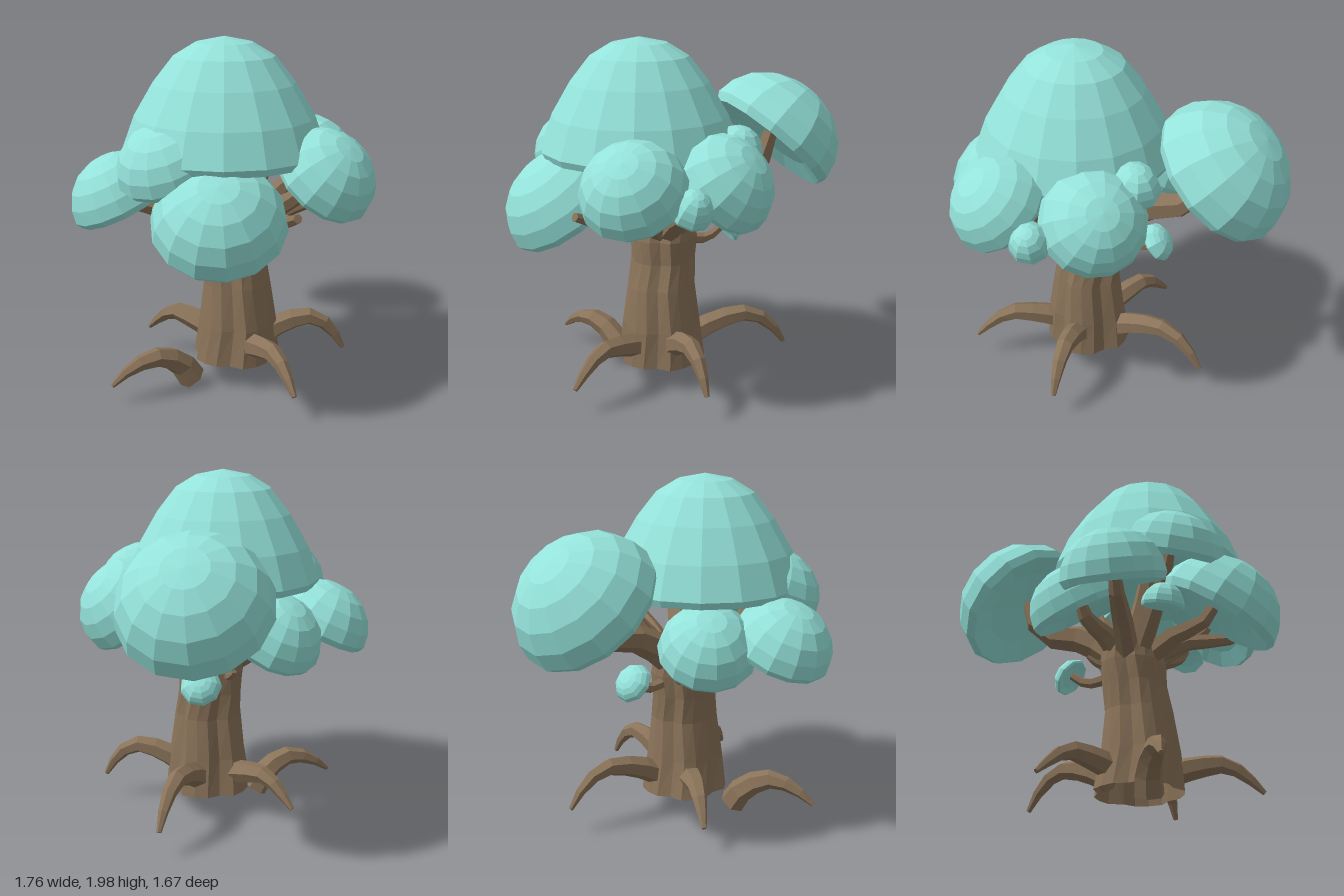
import * as THREE from 'three';

const UP = new THREE.Vector3(0, 1, 0);
const vec = (a) => new THREE.Vector3(...a);

// Flat facets: unshared corners with face normals
function faceted(geometry) {
  const g = geometry.index ? geometry.toNonIndexed() : geometry;
  g.computeVertexNormals();
  return g;
}

// Skin a stack of equal-sized rings, closing the last and optionally the first
function loft(rings, closeStart) {
  const corners = [];
  const n = rings[0].length;
  const first = rings[0], last = rings[rings.length - 1];
  const middle = (ring) => ring.reduce((s, p) => s.add(p), new THREE.Vector3()).divideScalar(n);
  const m0 = middle(first), m1 = middle(last);
  for (let j = 0; j < n; j++) {
    const k = (j + 1) % n;
    for (let i = 0; i < rings.length - 1; i++) {
      const a = rings[i], b = rings[i + 1];
      corners.push(a[j], a[k], b[k], a[j], b[k], b[j]);
    }
    if (closeStart) corners.push(m0, first[k], first[j]);
    corners.push(m1, last[j], last[k]);
  }
  return faceted(new THREE.BufferGeometry().setFromPoints(corners));
}

// Tapered six-sided limb along a curve
function limbGeometry(points, r0, r1, steps = 5, sides = 6) {
  const curve = new THREE.CatmullRomCurve3(points);
  const { normals, binormals } = curve.computeFrenetFrames(steps);
  const rings = [];
  for (let i = 0; i <= steps; i++) {
    const t = i / steps;
    const r = THREE.MathUtils.lerp(r0, r1, t * t * 0.6 + t * 0.4);
    const c = curve.getPointAt(t);
    rings.push(Array.from({ length: sides }, (_, j) => {
      const a = (j / sides) * Math.PI * 2;
      return c.clone()
        .addScaledVector(normals[i], Math.cos(a) * r)
        .addScaledVector(binormals[i], Math.sin(a) * r);
    }));
  }
  return loft(rings, true);
}

// Fluted trunk, open underneath, from round sections: y, centre x, radius
function trunkGeometry() {
  const sections = [[0.15, 0.07, 0.25], [0.36, 0.08, 0.225], [0.6, 0.075, 0.193],
    [0.75, 0.05, 0.183], [0.88, 0.04, 0.19], [0.97, 0.03, 0.175], [1.04, 0.03, 0.11]];
  const flutes = [1, 0.98, 0.87, 1.02];
  const sides = 20;
  return loft(sections.map(([y, cx, r], i) =>
    Array.from({ length: sides }, (_, j) => {
      const a = ((j + (i % 2) * 0.2) / sides) * Math.PI * 2;
      const k = r * flutes[j % 4];
      return new THREE.Vector3(cx + Math.sin(a) * k, y, 0.015 + Math.cos(a) * k);
    })), false);
}

// Unit leaf caps: hollowed underside, rolled rim, domed top
const ROUND = [[0, 0.14], [0.6, 0.1], [0.94, 0], [1, 0.12], [0.95, 0.38],
  [0.81, 0.64], [0.58, 0.85], [0.3, 0.97], [0, 1]];
const TALL = [[0, 0.1], [0.6, 0.06], [0.97, 0], [1, 0.06], [0.88, 0.34],
  [0.69, 0.62], [0.49, 0.84], [0.28, 0.95], [0, 1]];

function capGeometry(profile, radius, height, sides) {
  const pts = profile.map(([x, y]) => new THREE.Vector2(x * radius, y * height));
  return faceted(new THREE.LatheGeometry(pts, sides));
}

export function createModel() {
  const bark = new THREE.MeshStandardMaterial({ color: 0x8a7359, side: THREE.DoubleSide });
  bark.name = 'bark brown';
  const leaf = new THREE.MeshStandardMaterial({ color: 0x94e2da });
  leaf.name = 'leaf teal';

  const tree = new THREE.Group();
  tree.name = 'tree';
  const add = (name, geometry, material) => {
    const mesh = new THREE.Mesh(geometry, material);
    mesh.name = name;
    tree.add(mesh);
    return mesh;
  };
  const addLimb = (name, points, r0, r1, steps) =>
    add(name, limbGeometry(points.map(vec), r0, r1, steps), bark);

  add('trunk', trunkGeometry(), bark);

  // Arched roots from the trunk foot: tip x, tip z and crest height
  const roots = {
    leftRoot: [0.72, 0.23, 0.32],
    rightRoot: [-0.54, 0.16, 0.31],
    backRightRoot: [-0.36, -0.6, 0.365],
    backLeftRoot: [0.5, -0.45, 0.365],
  };
  for (const [name, [x, z, crest]] of Object.entries(roots)) {
    const at = (t, y) => [0.07 + (x - 0.07) * t, y, 0.02 + (z - 0.02) * t];
    const path = [at(0.25, 0.26), at(0.45, 0.06 + crest * 0.75), at(0.7, crest),
      at(0.87, crest - 0.07), at(1, 0.165)];
    addLimb(name, path, 0.072, 0.014, 6);
  }
  addLimb('frontRoot', [[0.01, 0.06, 0.31], [-0.02, 0.17, 0.38], [-0.05, 0.24, 0.54],
    [-0.1, 0.19, 0.69], [-0.13, 0.12, 0.78]], 0.08, 0.012, 6);

  // Leaf cap: base centre, up direction, radius and height
  const addCap = (name, base, dir, radius, height) => {
    const cap = add(`${name}Canopy`, capGeometry(ROUND, radius, height, radius > 0.2 ? 14 : 9), leaf);
    cap.position.set(...base);
    cap.quaternion.setFromUnitVectors(UP, vec(dir).normalize());
  };

  // Leaf cap carried by a branch that leaves the trunk crown and bends upward
  const addBough = (name, base, dir, radius, height) => {
    addCap(name, base, dir, radius, height);
    const [x, y, z] = base;
    const at = (t, h) => [0.03 + (x - 0.03) * t, h, 0.015 + (z - 0.015) * t];
    const path = [at(0.2, 0.92), at(0.55, 0.7 + 0.3 * y), at(0.85, 0.2 + 0.8 * y), at(1, y + 0.07)];
    addLimb(`${name}Branch`, path, 0.05 + radius * 0.05, 0.033);
  };
  addBough('left', [0.595, 1.255, -0.085], [0.65, 0.75, -0.05], 0.287, 0.28);
  addBough('frontLeft', [0.36, 1.06, 0.43], [0.4, 0.8, 0.4], 0.355, 0.34);
  addBough('frontRight', [-0.27, 1.09, 0.54], [-0.25, 0.9, 0.35], 0.285, 0.29);
  addBough('front', [0.075, 1.33, 0.48], [0, 0.9, 0.42], 0.3, 0.27);
  addBough('right', [-0.325, 1.08, 0.16], [-0.5, 0.8, 0.1], 0.27, 0.28);
  addBough('back', [0.23, 1.235, -0.39], [0.1, 0.62, -0.68], 0.292, 0.29);
  addBough('smallBack', [0, 1.37, -0.4], [0, 0.95, -0.25], 0.145, 0.17);
  addBough('smallBackLeft', [0.56, 1.18, -0.37], [0.3, 0.8, -0.4], 0.115, 0.15);

  // Caps outside the bough pattern
  addCap('backRight', [-0.465, 1.355, -0.425], [-0.48, 0.73, -0.48], 0.41, 0.39);
  addCap('lowBack', [-0.23, 0.875, -0.24], [-0.55, 0.6, -0.5], 0.115, 0.09);
  addCap('smallFront', [0.04, 1.06, 0.45], [0, 0.95, 0.3], 0.12, 0.13);
  add('topCanopy', capGeometry(TALL, 0.555, 0.64, 16), leaf).position.set(0.095, 1.36, 0.13);

  // Elbowed main branch, centre branch, bare branch and low twigs
  addLimb('backRightBranch', [[-0.02, 0.95, -0.04], [-0.15, 1.11, -0.2], [-0.38, 1.2, -0.38],
    [-0.45, 1.42, -0.45]], 0.095, 0.045);
  addLimb('topBranch', [[0.03, 0.98, 0.02], [0.08, 1.2, 0.06], [0.1, 1.46, 0.12]], 0.08, 0.04);
  addLimb('bareBranch', [[0.12, 0.93, 0.05], [0.36, 1.06, 0.1], [0.56, 1.08, 0.15],
    [0.7, 1.14, 0.21]], 0.055, 0.025);
  addLimb('lowBackBranch', [[-0.06, 0.84, -0.08], [-0.16, 0.83, -0.18], [-0.25, 0.91, -0.26]], 0.035, 0.02);
  addLimb('lowRightTwig', [[-0.08, 0.86, 0.02], [-0.17, 0.88, 0], [-0.22, 0.92, -0.01]], 0.03, 0.012);

  return tree;
}
